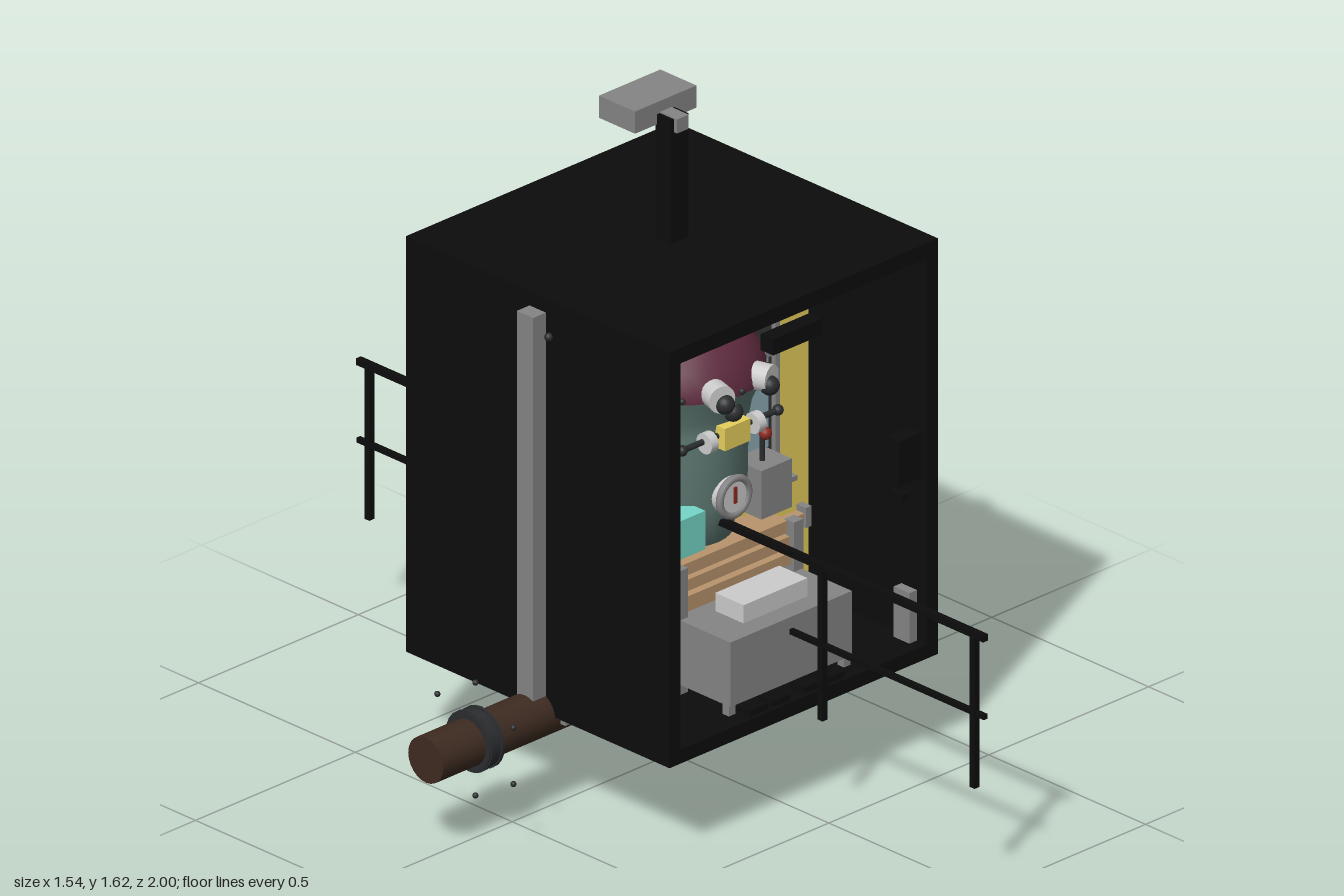
import * as THREE from 'three';

const COLORS = {
  black: 0x0c0c0c, dark: 0x363636, iron: 0x2a2c2e, grey: 0x858585, pale: 0xcccccc, yellow: 0xe6cf5c,
  brown: 0x3e2b21, rust: 0x6b4c3a, teal: 0x5f7a74, maroon: 0x5e2a3e, blue: 0x8fabb5, cyan: 0x74d6c8,
  tan: 0xb8946c, pink: 0xc06a94, red: 0x8a2a20, sand: 0xb0a688,
};
const mats = {};
for (const k in COLORS) mats[k] = new THREE.MeshStandardMaterial({ color: COLORS[k], side: THREE.DoubleSide });

export function createModel() {
  const root = new THREE.Group();

  const add = (name, geo, mat, x = 0, y = 0, z = 0) => {
    const m = new THREE.Mesh(geo, mats[mat]);
    m.name = name;
    m.position.set(x, y, z);
    root.add(m);
    return m;
  };
  // box given by its limits
  const box = (name, mat, x0, x1, y0, y1, z0, z1) =>
    add(name, new THREE.BoxGeometry(x1 - x0, y1 - y0, z1 - z0), mat, (x0 + x1) / 2, (y0 + y1) / 2, (z0 + z1) / 2);
  // cylinder along an axis
  const rod = (name, mat, axis, r, len, x, y, z, seg = 20) => {
    const g = new THREE.CylinderGeometry(r, r, len, seg);
    if (axis === 'x') g.rotateZ(Math.PI / 2);
    if (axis === 'z') g.rotateX(Math.PI / 2);
    return add(name, g, mat, x, y, z);
  };
  const ball = (name, mat, r, x, y, z) => add(name, new THREE.SphereGeometry(r, 16, 12), mat, x, y, z);
  const ring = (name, mat, r, t, x, y, z) => add(name, new THREE.TorusGeometry(r, t, 8, 24), mat, x, y, z);

  // cabinet shell, open at the front
  box('cabinetBack', 'black', -0.42, 0.42, 0.25, 1.28, -0.42, -0.39);
  box('cabinetRoof', 'black', -0.42, 0.42, 1.242, 1.28, -0.42, 0.42);
  box('cabinetFloor', 'black', -0.42, 0.42, 0.25, 0.285, -0.42, 0.42);
  for (const s of [-1, 1]) {
    const wall = box('cabinetSide', 'black', 0.385, 0.42, 0.25, 1.28, -0.42, 0.42);
    wall.position.x *= s;
  }

  // mast and lamp
  box('mast', 'black', -0.027, 0.027, 1.27, 1.587, -0.025, 0.025);
  box('lampBracket', 'grey', -0.018, 0.018, 1.555, 1.59, -0.035, 0.035);
  box('lampHead', 'grey', -0.096, 0.096, 1.562, 1.617, -0.135, -0.02);
  box('lampLens', 'pale', -0.075, 0.075, 1.552, 1.563, -0.12, -0.035);

  // partition wall through the cabinet with coloured strips
  box('partition', 'grey', -0.46, 0.46, 0.29, 1.244, -0.026, 0.026);
  box('darkPanel', 'dark', -0.28, 0.28, 0.3, 1.225, 0.02, 0.032);
  for (const s of [-1, 1]) {
    box('outerYellowStrip', 'yellow', s * 0.34 - 0.045, s * 0.34 + 0.045, 0.29, 1.235, 0.02, 0.042);
    box('innerYellowStrip', 'yellow', s * 0.115 - 0.045, s * 0.115 + 0.045, 0.6, 1.225, 0.02, 0.038);
    box('stripTrim', 'grey', s * 0.287 - 0.007, s * 0.287 + 0.007, 0.29, 1.235, 0.02, 0.045);
    box('bluePanel', 'blue', s * 0.187 - 0.042, s * 0.187 + 0.042, 0.71, 0.935, 0.03, 0.075);
    box('bluePanelCap', 'grey', s * 0.187 - 0.046, s * 0.187 + 0.046, 0.935, 0.947, 0.03, 0.08);
    box('cornerBracket', 'grey', s * 0.372 - 0.012, s * 0.372 + 0.012, 0.285, 0.41, 0.34, 0.39);
    box('wallStop', 'black', s * 0.378 - 0.01, s * 0.378 + 0.01, 0.62, 0.64, 0.32, 0.36);
    for (const [x, y] of [[0.135, 1.19], [0.3, 1.19], [0.23, 0.59], [0.23, 0.35]])
      ball('rivet', 'iron', 0.011, s * x, y, y > 1 ? 0.045 : 0.1);
    ball('sideBolt', 'iron', 0.01, s * 0.425, 1.19, 0.04);
  }
  box('topTrim', 'grey', -0.38, 0.38, 1.225, 1.242, 0.02, 0.048);

  // lower yellow panel and ledge
  box('lowerPanel', 'yellow', -0.275, 0.275, 0.29, 0.62, 0.02, 0.09);
  box('lowerLedge', 'grey', -0.285, 0.285, 0.62, 0.632, 0.02, 0.11);

  // boiler body and dome
  const lathe = pts => new THREE.LatheGeometry(pts.map(p => new THREE.Vector2(p[0], p[1])), 28);
  add('boilerBody', lathe([[0, 0.56], [0.11, 0.56], [0.12, 0.62], [0.145, 0.68], [0.148, 0.86],
    [0.155, 0.9], [0.178, 0.955], [0.184, 0.975]]), 'teal', 0, 0, 0.035);
  add('boilerDome', lathe([[0.188, 0.965], [0.188, 0.985], [0.172, 1.03], [0.14, 1.07], [0.095, 1.097],
    [0.045, 1.111], [0, 1.114]]), 'maroon', 0, 0, 0.035);
  for (let i = 0; i < 16; i++) {
    const a = i / 16 * Math.PI * 2;
    ball('domeRivet', 'iron', 0.008, 0.188 * Math.cos(a), 0.975, 0.035 + 0.188 * Math.sin(a));
  }

  // boiler lamps, valve, clamp and gauge
  for (const s of [-1, 1]) {
    const shade = rod('lampShade', 'pale', 'z', 0.033, 0.05, s * 0.07, 0.985, 0.215);
    shade.rotation.y = s * 0.3;
    ball('lampBulb', 'iron', 0.023, s * 0.07, 0.972, 0.24);
    rod('clampCollar', 'pale', 'x', 0.025, 0.022, s * 0.075, 0.862, 0.19);
    ball('clampEnd', 'iron', 0.013, s * 0.15, 0.865, 0.185);
    add('crystal', new THREE.OctahedronGeometry(0.042), 'pink', s * 0.16, 1.13, 0.12);
  }
  ball('valveKnob', 'iron', 0.023, 0, 0.915, 0.195);
  rod('clampRod', 'iron', 'x', 0.007, 0.31, 0, 0.865, 0.185);
  box('clampBlock', 'yellow', -0.04, 0.04, 0.835, 0.89, 0.17, 0.21);
  rod('gaugeFace', 'pale', 'z', 0.045, 0.03, 0, 0.705, 0.185, 28);
  ring('gaugeRim', 'grey', 0.045, 0.009, 0, 0.705, 0.198);
  box('gaugeNeedle', 'red', -0.004, 0.004, 0.69, 0.73, 0.198, 0.204);

  // wall fittings
  rod('signalStem', 'iron', 'y', 0.006, 0.12, 0.155, 0.74, 0.13);
  ball('signalBulb', 'red', 0.015, 0.155, 0.79, 0.14);
  box('turquoiseBox', 'cyan', -0.176, -0.082, 0.6, 0.695, 0.1, 0.19);
  box('greyBox', 'grey', 0.113, 0.208, 0.6, 0.72, 0.08, 0.17);
  box('whiteArm', 'pale', -0.384, -0.17, 1.082, 1.138, 0.05, 0.11);
  box('armSlot', 'black', -0.35, -0.19, 1.11, 1.125, 0.1, 0.113);
  box('alarmBox', 'grey', 0.23, 0.384, 1.09, 1.168, 0.05, 0.11);
  ball('alarmLight', 'red', 0.027, 0.307, 1.13, 0.12);
  box('alarmPlug', 'black', 0.17, 0.21, 1.095, 1.115, 0.05, 0.1);
  box('hangingBox', 'black', -0.076, 0.076, 1.15, 1.19, 0.36, 0.4);
  box('sideSwitch', 'black', 0.318, 0.385, 0.69, 0.803, 0.36, 0.4);

  // wooden bench with slats
  box('bench', 'tan', -0.19, 0.19, 0.29, 0.575, 0.08, 0.19);
  for (let i = 0; i < 3; i++)
    box('benchSlat', 'tan', -0.2, 0.2, 0.49 + i * 0.036, 0.518 + i * 0.036, 0.18, 0.215 - i * 0.008);
  box('crossBar', 'tan', -0.31, 0.31, 0.52, 0.54, 0.1, 0.125);
  for (const s of [-1, 1]) box('barEnd', 'grey', s * 0.3 - 0.009, s * 0.3 + 0.009, 0.505, 0.555, 0.1, 0.13);

  // desk with corner posts
  box('deskBody', 'grey', -0.19, 0.19, 0.31, 0.47, 0.2, 0.38);
  box('deskBoard', 'pale', -0.1, 0.1, 0.47, 0.515, 0.24, 0.33);
  for (const s of [-1, 1]) {
    box('rearPost', 'grey', s * 0.18 - 0.015, s * 0.18 + 0.015, 0.28, 0.592, 0.19, 0.22);
    box('frontLeg', 'grey', s * 0.18 - 0.01, s * 0.18 + 0.01, 0.28, 0.32, 0.355, 0.375);
  }
  rod('deskHandle', 'iron', 'x', 0.006, 0.05, -0.22, 0.47, 0.22);
  for (const x of [-0.13, -0.06, 0.04, 0.11])
    box('floorBlock', 'black', x - 0.028, x + 0.028, 0.27, 0.3, 0.36, 0.41);

  // guard rails running front to back
  box('topRail', 'black', -0.008, 0.008, 0.622, 0.638, -1, 1);
  box('lowerRail', 'black', -0.006, 0.006, 0.429, 0.441, -1, 1);
  for (const z of [-0.965, -0.48, 0.48, 0.965])
    box('railPost', 'black', -0.008, 0.008, 0.25, 0.63, z - 0.008, z + 0.008);
  box('railSocket', 'yellow', -0.018, 0.018, 0.628, 0.645, -0.445, -0.41);

  // main pipe, collars and bolts
  rod('mainPipe', 'brown', 'x', 0.056, 1.54, 0, 0.244, 0, 24);
  for (const x of [-0.615, 0.075, 0.615]) {
    const big = x !== 0.075;
    rod('pipeCollar', 'iron', 'x', big ? 0.07 : 0.066, 0.046, x, 0.244, 0, 24);
    for (const d of [-0.016, 0.016]) rod('collarRib', 'iron', 'x', big ? 0.074 : 0.069, 0.008, x + d, 0.244, 0, 24);
    for (let i = 0; i < 6; i++) {
      const a = Math.PI / 6 + i * Math.PI / 3;
      ball('collarBolt', 'iron', 0.007, x, 0.244 + 0.14 * Math.sin(a), 0.14 * Math.cos(a));
    }
  }

  // drain pipe
  rod('drainPipe', 'rust', 'y', 0.037, 0.24, 0.344, 0.12, 0, 24);
  rod('drainFlange', 'iron', 'y', 0.048, 0.02, 0.344, 0.01, 0, 24);

  // fittings under the floor
  for (let i = 0; i < 9; i++) {
    const a = i * 2.4, r = 0.07 + 0.015 * i;
    const plate = box('underPlate', i % 3 ? 'sand' : 'grey', -0.075, 0.075, 0.24, 0.25, -0.04, 0.04);
    plate.position.set(r * Math.cos(a), 0.243 + 0.0006 * i, r * Math.sin(a));
    plate.rotation.y = a;
  }
  for (const s of [-1, 1]) {
    box('underBeam', 'grey', -0.16, 0.16, 0.222, 0.238, s * 0.11 - 0.02, s * 0.11 + 0.02);
    box('pipeHanger', 'grey', s * 0.385 - 0.017, s * 0.385 + 0.017, 0.228, 0.25, -0.07, 0.07);
  }
  box('underTray', 'grey', -0.09, 0.09, 0.19, 0.21, -0.05, 0.075);
  box('redStrip', 'red', -0.1, 0.02, 0.226, 0.24, 0.1, 0.15);
  rod('thinRod', 'grey', 'x', 0.006, 0.4, 0.1, 0.212, 0.062);
  const cone = add('drainCone', new THREE.CylinderGeometry(0.035, 0.014, 0.03, 16), 'red', 0, 0.178, 0.02);
  cone.name = 'drainCone';
  ball('underBowl', 'sand', 0.045, -0.19, 0.247, 0.1);

  return root;
}
